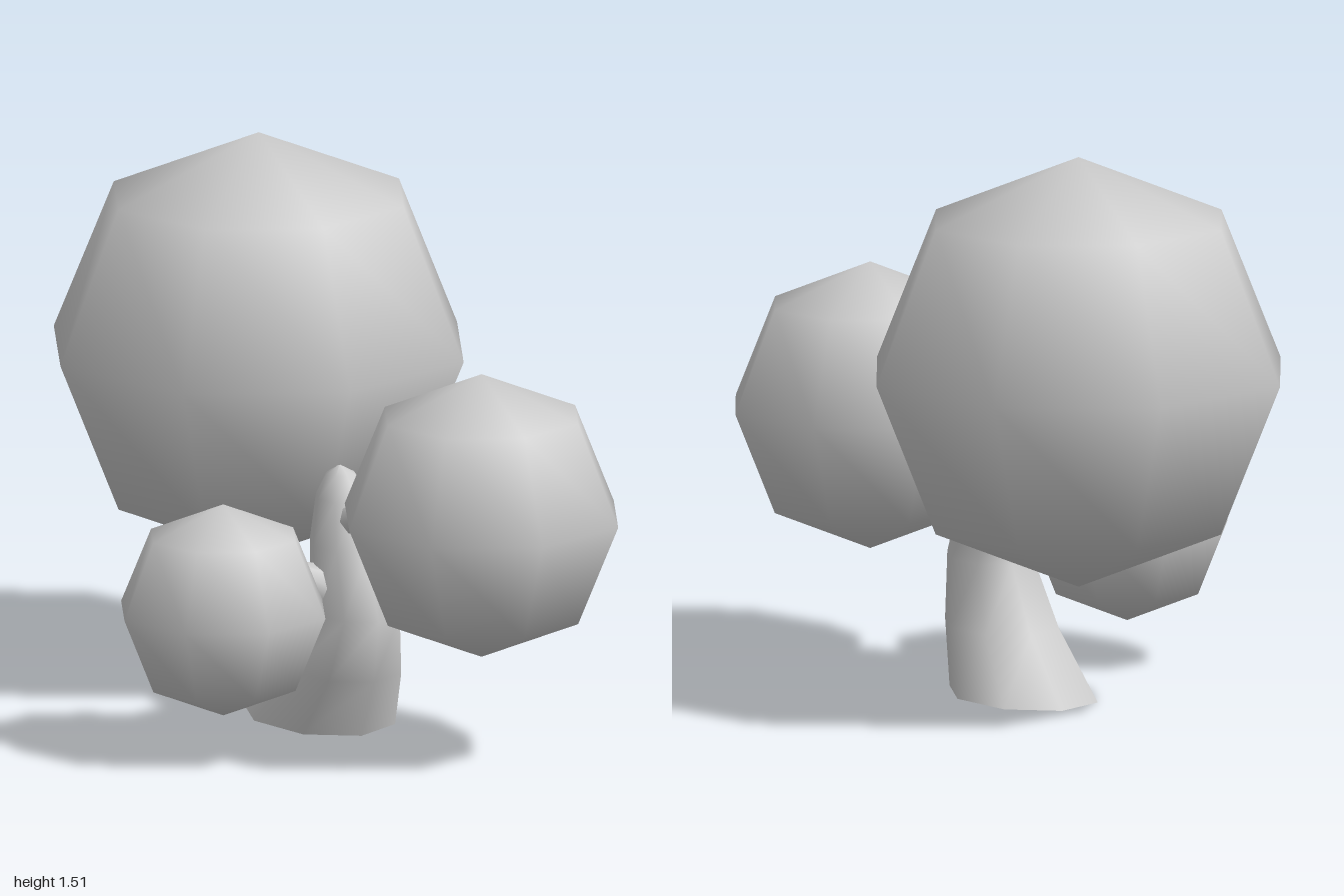
import * as THREE from 'three';

const SIDES = 8;

// Skin of 8-sided cross-sections [x, y, z, radiusX, radiusZ], listed bottom to top
function loft(rings) {
  const positions = [], index = [];
  for (const [x, y, z, rx, rz] of rings) {
    for (let i = 0; i < SIDES; i++) {
      const a = (i / SIDES) * Math.PI * 2;
      positions.push(x + Math.cos(a) * rx, y, z + Math.sin(a) * rz);
    }
  }
  for (let r = 0; r < rings.length - 1; r++) {
    for (let i = 0; i < SIDES; i++) {
      const a = r * SIDES + i, b = r * SIDES + (i + 1) % SIDES;
      index.push(a, a + SIDES, b, b, a + SIDES, b + SIDES);
    }
  }
  const geometry = new THREE.BufferGeometry();
  geometry.setAttribute('position', new THREE.Float32BufferAttribute(positions, 3));
  geometry.setIndex(index);
  geometry.computeVertexNormals();
  return geometry;
}

export function createModel() {
  const group = new THREE.Group();
  const material = new THREE.MeshStandardMaterial({ color: 0xcccccc });

  function add(name, geometry, parent = group) {
    const mesh = new THREE.Mesh(geometry, material);
    mesh.name = name;
    parent.add(mesh);
    return mesh;
  }

  // Bent trunk, leaning forward and then back to a rounded tip
  const trunk = new THREE.Group();
  trunk.name = 'trunk';
  group.add(trunk);
  add('trunkBark', loft([
    [0.07, 0, -0.06, 0.19, 0.27],
    [0.07, 0.165, 0.09, 0.15, 0.2],
    [0.07, 0.335, 0.17, 0.115, 0.15],
    [0.07, 0.51, 0.12, 0.1, 0.12],
    [0.07, 0.63, 0.095, 0.075, 0.085],
    [0.07, 0.69, 0.075, 0.04, 0.045],
    [0.07, 0.71, 0.068, 0.003, 0.003],
  ]), trunk);

  // Flat underside of the trunk
  const base = add('trunkBase', new THREE.CircleGeometry(1, SIDES), trunk);
  base.rotation.x = Math.PI / 2;
  base.scale.set(0.19, 0.27, 1);
  base.position.set(0.07, 0, -0.06);

  // Tapered branch stubs reaching towards the smaller crowns
  function branch(name, from, to, r0, r1) {
    const start = new THREE.Vector3(...from), end = new THREE.Vector3(...to);
    const axis = end.clone().sub(start);
    const mesh = add(name, new THREE.CylinderGeometry(r1, r0, axis.length(), SIDES));
    mesh.position.copy(start).add(end).multiplyScalar(0.5);
    mesh.quaternion.setFromUnitVectors(new THREE.Vector3(0, 1, 0), axis.normalize());
  }
  branch('rightBranch', [0.03, 0.38, 0.14], [-0.15, 0.46, 0.12], 0.07, 0.034);
  branch('frontBranch', [0.07, 0.57, 0.13], [0.065, 0.62, 0.295], 0.055, 0.032);

  // Round leaf crowns: eight sides and four bands each
  for (const [name, x, y, z, r] of [
    ['backCrown', 0.06, 0.93, -0.42, 0.58],
    ['frontCrown', 0.235, 0.678, 0.612, 0.387],
    ['rightCrown', -0.36, 0.403, 0.265, 0.289],
  ]) {
    add(name, new THREE.SphereGeometry(r, 8, 4)).position.set(x, y, z);
  }

  return group;
}
